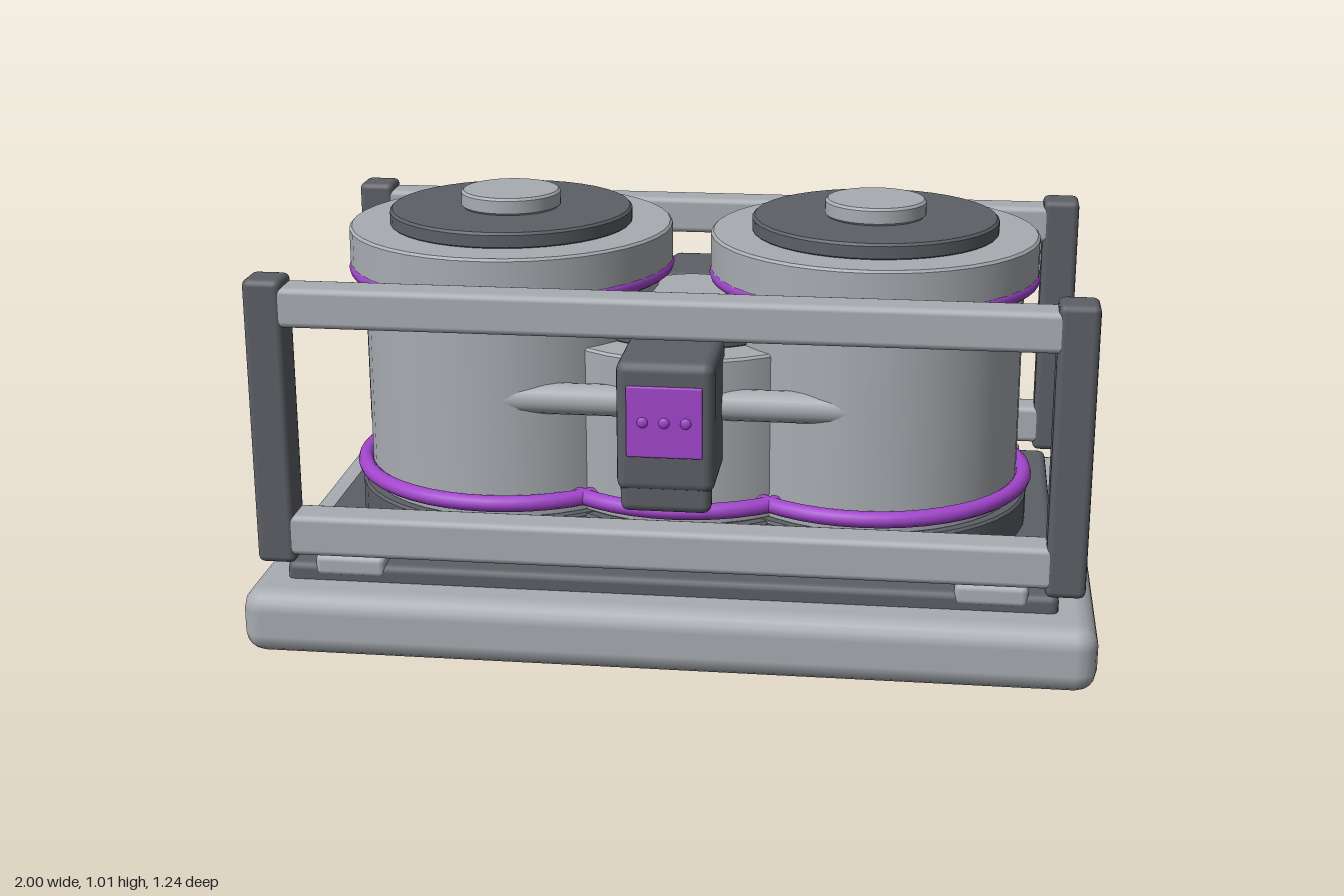
import * as THREE from 'three';
import { RoundedBoxGeometry } from 'three/addons/geometries/RoundedBoxGeometry.js';

function material(name, color) {
  const m = new THREE.MeshStandardMaterial({ color });
  m.name = name;
  return m;
}

export function createModel() {
  const light = material('light grey', 0xa8acb1);
  const dark = material('dark grey', 0x5c5f65);
  const purple = material('purple', 0xa246cc);
  const model = new THREE.Group();
  model.name = 'twinTankUnit';

  function add(parent, name, geometry, mat, x = 0, y = 0, z = 0) {
    const mesh = new THREE.Mesh(geometry, mat);
    mesh.name = name;
    mesh.position.set(x, y, z);
    parent.add(mesh);
    return mesh;
  }
  // Rounded box given by its size, vertical range and centre
  function box(parent, name, mat, w, d, y0, y1, x, z, r = 0.015) {
    const g = new RoundedBoxGeometry(w, y1 - y0, d, 2, r);
    return add(parent, name, g, mat, x, (y0 + y1) / 2, z);
  }
  // Upright disc or drum with a tiny bevel on both rims
  function drum(parent, name, mat, r, y0, y1, x = 0, z = 0) {
    const b = Math.min(0.006, r * 0.2);
    const rims = [[0, y0], [r - b, y0], [r, y0 + b], [r, y1 - b], [r - b, y1], [0, y1]];
    // doubled points keep the rim edges crisp
    const pts = rims.flatMap(([a, h], i) => {
      const p = new THREE.Vector2(a, h);
      return i > 0 && i < 5 ? [p, p.clone()] : [p];
    });
    let g = new THREE.LatheGeometry(pts, 40);
    return add(parent, name, g, mat, x, 0, z);
  }
  function ring(parent, name, y) {
    const g = new THREE.TorusGeometry(0.384, 0.02, 10, 48).rotateX(Math.PI / 2);
    return add(parent, name, g, purple, 0, y, 0);
  }

  // Base slab and deck
  box(model, 'base', light, 2, 1.24, 0.005, 0.165, 0, 0, 0.05);
  box(model, 'deck', dark, 1.82, 1.04, 0.15, 0.207, 0, 0, 0.018);

  // Two tall tanks
  for (const s of [-1, 1]) {
    const tank = new THREE.Group();
    tank.name = s > 0 ? 'leftTank' : 'rightTank';
    tank.position.x = s * 0.45;
    model.add(tank);
    drum(tank, 'tankFoot', dark, 0.392, 0.2, 0.285);
    drum(tank, 'tankBody', light, 0.366, 0.28, 0.9);
    ring(tank, 'lowerRing', 0.325);
    ring(tank, 'upperRing', 0.829);
    drum(tank, 'tankCap', light, 0.4, 0.83, 0.933);
    drum(tank, 'tankLid', dark, 0.3, 0.93, 0.971);
    drum(tank, 'lidKnob', light, 0.123, 0.97, 1.013);
  }

  // Short tank between them
  const middle = new THREE.Group();
  middle.name = 'middleTank';
  model.add(middle);
  drum(middle, 'tankFoot', dark, 0.388, 0.2, 0.283);
  drum(middle, 'tankBody', light, 0.362, 0.28, 0.693);
  ring(middle, 'lowerRing', 0.325);
  drum(middle, 'tankLid', dark, 0.27, 0.69, 0.737);
  drum(middle, 'lidKnob', light, 0.125, 0.735, 0.778);

  // Front and back sides: frame, pipe and control box
  for (const s of [1, -1]) {
    const side = new THREE.Group();
    side.name = s > 0 ? 'frontSide' : 'backSide';
    side.rotation.y = s > 0 ? 0 : Math.PI;
    model.add(side);

    for (const e of [-1, 1]) {
      box(side, 'post', dark, 0.092, 0.094, 0.22, 0.91, e * 0.92, 0.517, 0.016);
      // Fixing pad with bolt
      box(side, 'pad', light, 0.17, 0.15, 0.175, 0.228, e * 0.755, 0.448, 0.015);
      drum(side, 'bolt', dark, 0.038, 0.22, 0.246, e * 0.755, 0.448);
      drum(side, 'boltCentre', purple, 0.015, 0.243, 0.25, e * 0.755, 0.448);
    }
    box(side, 'topRail', light, 1.79, 0.09, 0.797, 0.892, 0, 0.517);
    box(side, 'bottomRail', light, 1.79, 0.09, 0.24, 0.34, 0, 0.517);

    const pipe = new THREE.CylinderGeometry(0.038, 0.038, 0.84, 20).rotateZ(Math.PI / 2);
    add(side, 'pipe', pipe, light, 0, 0.578, 0.325);

    box(side, 'controlBox', dark, 0.228, 0.245, 0.42, 0.735, 0, 0.4025, 0.025);
    box(side, 'controlBoxLip', dark, 0.212, 0.05, 0.37, 0.47, 0, 0.495, 0.02);
    box(side, 'controlPanel', purple, 0.176, 0.009, 0.51, 0.68, 0, 0.528, 0.004);
    for (const x of [-0.05, 0, 0.05]) {
      const g = new THREE.SphereGeometry(0.013, 12, 8).scale(1, 1, 0.5);
      add(side, 'button', g, purple, x, 0.595, 0.533);
    }
  }
  return model;
}
